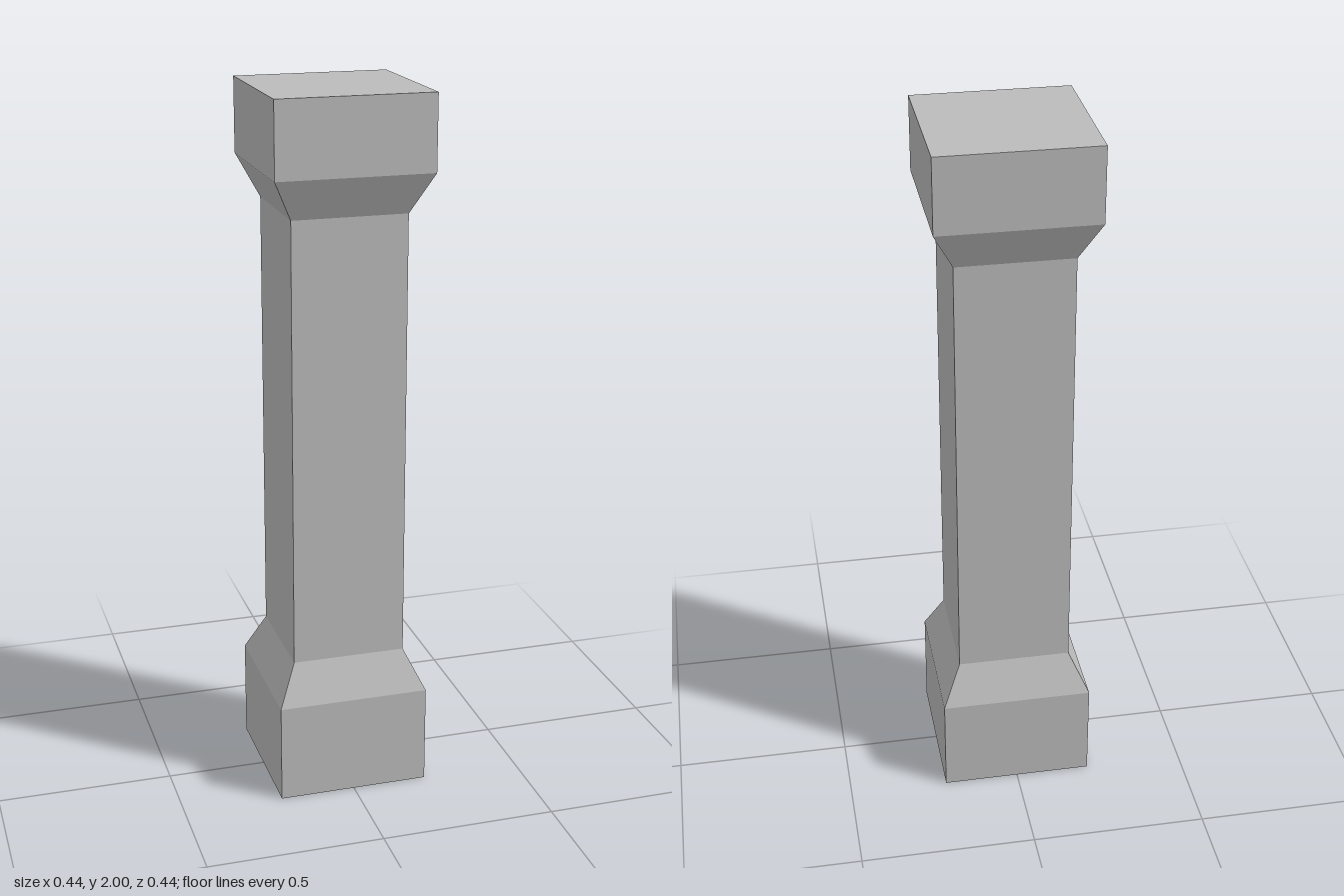
import * as THREE from 'three';

const stone = new THREE.MeshStandardMaterial({ color: 0xbbbbbb, flatShading: true });
stone.name = 'grey stone';

// Square section swept up a profile of [half width, height] points
function squarePart(name, profile) {
  const points = profile.map(([half, y]) => new THREE.Vector2(half * Math.SQRT2, y));
  const geometry = new THREE.LatheGeometry(points, 4, Math.PI / 4).toNonIndexed();
  geometry.computeVertexNormals(); // hard facets
  const mesh = new THREE.Mesh(geometry, stone);
  mesh.name = name;
  return mesh;
}

export function createModel() {
  const pillar = new THREE.Group();
  pillar.name = 'pillar';
  const base = 0.216, shaft = 0.162, top = 0.219;

  pillar.add(
    // Block on the ground, closed underneath
    squarePart('plinth', [[0, 0], [base, 0], [base, 0.285]]),
    // Slope in to the shaft
    squarePart('baseTaper', [[base, 0.285], [shaft, 0.4]]),
    squarePart('shaft', [[shaft, 0.4], [shaft, 1.675]]),
    // Slope out to the top block
    squarePart('capitalTaper', [[shaft, 1.675], [top, 1.79]]),
    // Top block, closed above
    squarePart('capital', [[top, 1.79], [top, 2], [0, 2]])
  );
  return pillar;
}
